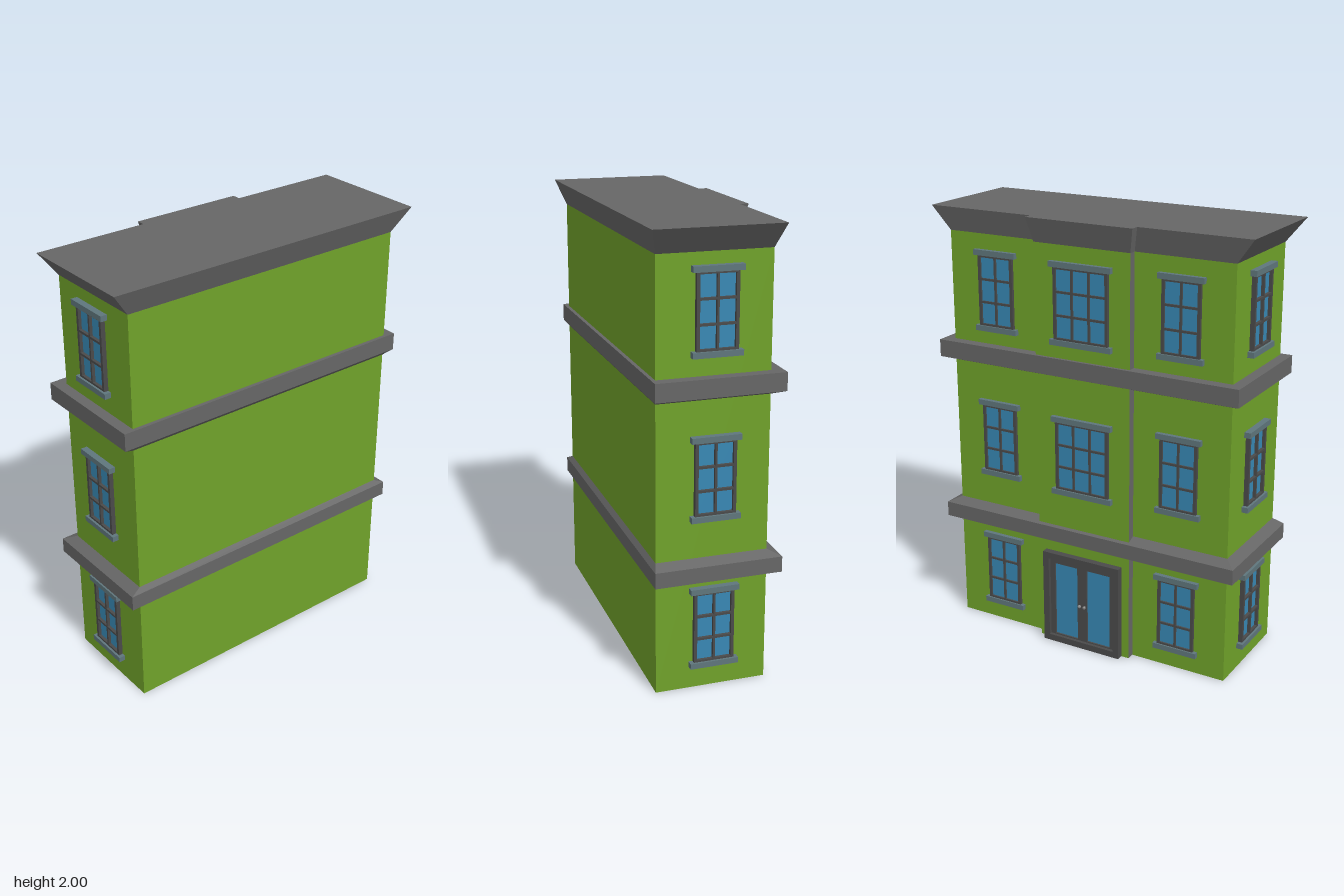
import * as THREE from 'three';

const mat = (color) => new THREE.MeshStandardMaterial({ color, flatShading: true });
const GREEN = mat(0x70a22a), GREY = mat(0x666666), DARK = mat(0x4a4a4a);
const GLASS = mat(0x3888b4), SILL = mat(0x5f767c), METAL = mat(0x8a8a8a);

function add(parent, name, geometry, material, x = 0, y = 0, z = 0) {
  const mesh = new THREE.Mesh(geometry, material);
  mesh.name = name;
  mesh.position.set(x, y, z);
  parent.add(mesh);
  return mesh;
}

// Block between two rectangles [x0, x1, z0, z1] at heights y0 and y1
function block(y0, y1, lower, upper = lower) {
  const g = new THREE.BoxGeometry(1, 1, 1);
  const p = g.attributes.position;
  for (let i = 0; i < p.count; i++) {
    const top = p.getY(i) > 0;
    const r = top ? upper : lower;
    p.setXYZ(i, r[p.getX(i) > 0 ? 1 : 0], top ? y1 : y0, r[p.getZ(i) > 0 ? 3 : 2]);
  }
  g.computeVertexNormals();
  return g;
}

function rect(target, x0, y0, x1, y1) {
  target.moveTo(x0, y0);
  target.lineTo(x1, y0);
  target.lineTo(x1, y1);
  target.lineTo(x0, y1);
  target.closePath();
  return target;
}

// Flat frame with a grid of openings
function gridFrame(w, y0, y1, cols, rows, border, bar, depth) {
  const shape = rect(new THREE.Shape(), -w / 2, y0, w / 2, y1);
  const pw = (w - 2 * border - (cols - 1) * bar) / cols;
  const ph = (y1 - y0 - 2 * border - (rows - 1) * bar) / rows;
  for (let c = 0; c < cols; c++) {
    for (let r = 0; r < rows; r++) {
      const x = -w / 2 + border + c * (pw + bar);
      const y = y0 + border + r * (ph + bar);
      shape.holes.push(rect(new THREE.Path(), x, y, x + pw, y + ph));
    }
  }
  return new THREE.ExtrudeGeometry(shape, { depth, bevelEnabled: false });
}

// Window facing +z with its sill bottom at the origin
function makeWindow(w, cols, depth) {
  const g = new THREE.Group();
  g.name = 'window';
  add(g, 'windowFrame', gridFrame(w, 0.02, 0.35, cols, 3, 0.014, 0.01, depth * 0.67), DARK);
  add(g, 'windowGlass', new THREE.BoxGeometry(w - 0.01, 0.32, 0.006), GLASS, 0, 0.185, 0.003);
  for (const [name, y] of [['windowSill', 0.0125], ['windowLintel', 0.3575]]) {
    add(g, name, new THREE.BoxGeometry(w + 0.036, 0.025, depth), SILL, 0, y, depth / 2);
  }
  return g;
}

// Double door facing +z
function makeDoor() {
  const g = new THREE.Group();
  g.name = 'doubleDoor';
  add(g, 'doorFrame', gridFrame(0.4, 0, 0.455, 1, 1, 0.03, 0, 0.032), DARK);
  add(g, 'doorLeaves', gridFrame(0.34, 0.01, 0.425, 2, 1, 0.025, 0.05, 0.016), DARK);
  add(g, 'doorGlass', new THREE.BoxGeometry(0.33, 0.4, 0.008), GLASS, 0, 0.217, 0.004);
  for (const s of [-1, 1]) {
    add(g, 'doorKnob', new THREE.SphereGeometry(0.008, 8, 6), METAL, s * 0.013, 0.21, 0.02);
  }
  return g;
}

export function createModel() {
  const model = new THREE.Group();
  model.name = 'townBuilding';

  // Walls, with a shallow bay in the middle of the door side
  const wall = [-0.235, 0.26, -0.7, 0.7];
  const bay = [-0.272, -0.2, -0.237, 0.237];
  add(model, 'walls', block(0, 1.9, wall), [GREEN, GREEN, GREY, GREY, GREEN, GREEN]);
  add(model, 'entranceBay', block(0, 1.9, bay), [GREY, GREEN, GREY, GREY, GREY, GREY]);

  // Ledges between floors
  const ledge = [-0.287, 0.277, -0.75, 0.75];
  add(model, 'lowerLedge', block(0.51, 0.58, ledge), GREY);
  add(model, 'lowerLedgeSlope', block(0.58, 0.603, ledge, wall), GREY);
  add(model, 'upperLedge', block(1.31, 1.39, ledge), GREY);
  add(model, 'upperLedgeSlope', block(1.29, 1.31, wall, ledge), GREY);

  // Flared cornice and roof
  add(model, 'cornice', block(1.892, 2, wall, [-0.258, 0.297, -0.782, 0.782]), GREY);
  add(model, 'bayCornice', block(1.892, 2, bay, [-0.298, -0.2, -0.26, 0.26]), GREY);

  // Windows on every floor
  const place = (part, x, y, z, turn) => {
    part.position.set(x, y, z);
    part.rotation.y = turn;
    model.add(part);
  };
  [0.1, 0.77, 1.47].forEach((y, floor) => {
    place(makeWindow(0.18, 2, 0.03), 0.005, y, 0.7, 0);
    place(makeWindow(0.18, 2, 0.03), 0.005, y, -0.7, Math.PI);
    for (const s of [-1, 1]) {
      place(makeWindow(0.18, 2, 0.021), wall[0], y - 0.018, s * 0.46, -Math.PI / 2);
    }
    if (floor > 0) place(makeWindow(0.27, 3, 0.021), bay[0], y - 0.018, 0, -Math.PI / 2);
  });

  place(makeDoor(), bay[0], 0, 0, -Math.PI / 2);
  return model;
}
